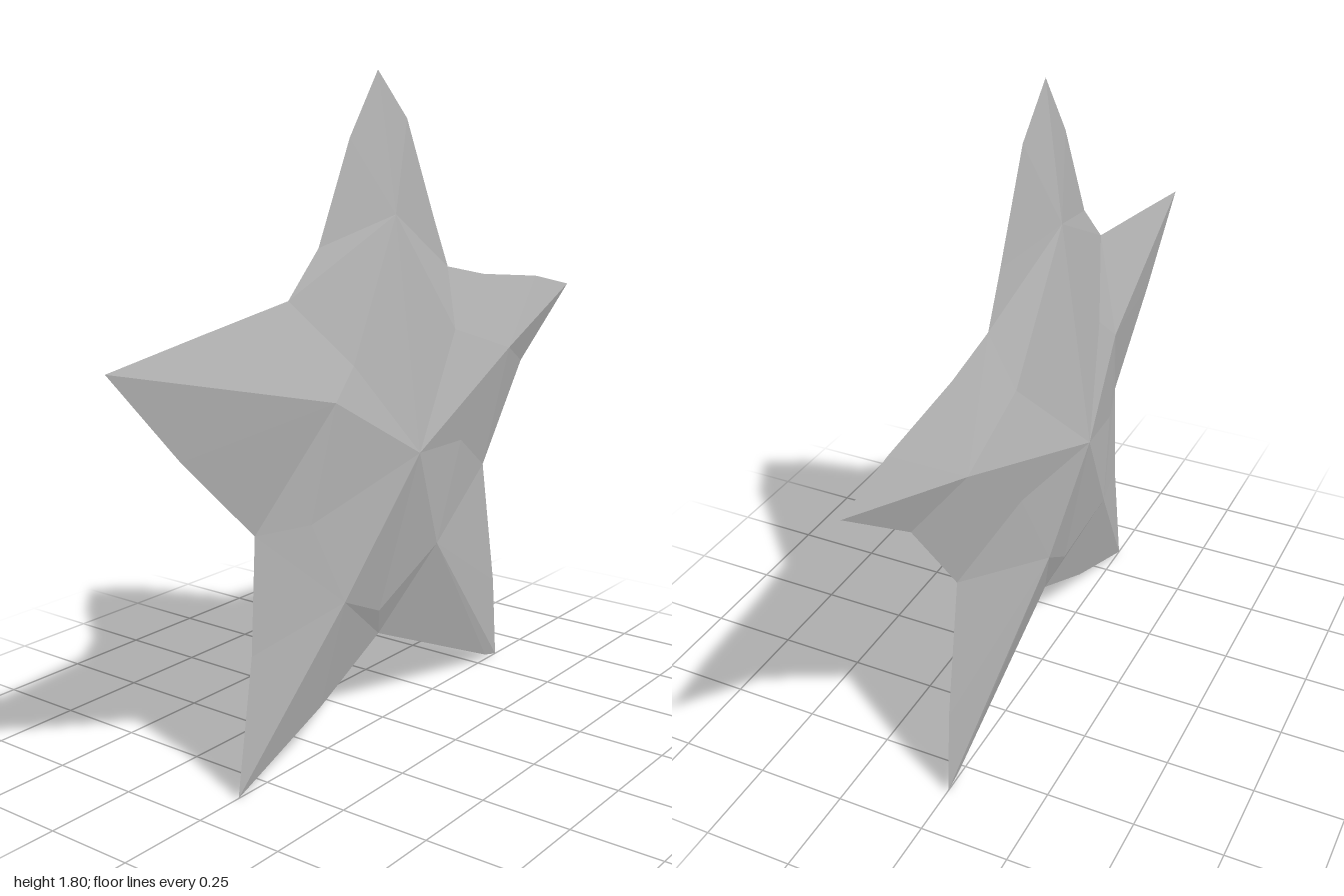
import * as THREE from 'three';

// Five arms, counter-clockwise seen from +x. All points are [z, y] or [z, y, depth].
// rim: outline from the arm's first notch up to (not including) the next arm's first notch.
const arms = [
  { ridge: [0.01, 1.43, 0.051], valley: [0.22, 1.06, 0.072],
    rim: [[-0.31, 1.26], [-0.24, 1.4], [-0.11, 1.675], [0.02, 1.8], [0.14, 1.63], [0.27, 1.36]] },
  { ridge: [0.31, 0.98, 0.085], valley: [0.37, 0.67, 0.05],
    rim: [[0.39, 1.24], [0.7, 1.195], [1, 1.15], [0.78, 0.91]] },
  { ridge: [0.27, 0.44, 0.078], valley: [0.07, 0.35, 0.04],
    rim: [[0.53, 0.67], [0.55, 0.36], [0.61, 0], [0.28, 0.13]] },
  { ridge: [-0.14, 0.5, 0.087], valley: [-0.28, 0.77, 0.072],
    rim: [[0.02, 0.26], [-0.54, 0.015], [-0.6, 0], [-0.58, 0.25]] },
  { ridge: [-0.55, 1.0, 0.062], valley: [-0.27, 1.09, 0.055],
    rim: [[-0.51, 0.64], [-0.72, 0.93], [-1, 1.14], [-0.8, 1.185], [-0.5, 1.22]] },
];
const centre = [0.015, 0.8, 0.136];

// One faceted half of the star; side is +1 or -1
function starHalf(side) {
  const positions = [];
  const tri = (a, b, c) => {
    for (const [z, y, depth = 0] of side > 0 ? [a, b, c] : [a, c, b]) {
      positions.push(side * depth, y, z);
    }
  };
  arms.forEach((arm, i) => {
    const next = arms[(i + 1) % arms.length];
    const notch = next.rim[0];
    const rim = [...arm.rim, notch];
    // Facets from the arm's ridge out to its outline
    for (let k = 0; k < rim.length - 1; k++) tri(arm.ridge, rim[k], rim[k + 1]);
    // Valley between this arm and the next
    tri(arm.ridge, notch, arm.valley);
    tri(arm.valley, notch, next.ridge);
    // Facets around the raised centre
    tri(centre, arm.ridge, arm.valley);
    tri(centre, arm.valley, next.ridge);
  });
  const geometry = new THREE.BufferGeometry();
  geometry.setAttribute('position', new THREE.Float32BufferAttribute(positions, 3));
  geometry.computeVertexNormals();
  return geometry;
}

export function createModel() {
  const group = new THREE.Group();
  group.name = 'star';
  const grey = new THREE.MeshStandardMaterial({ color: 0xb4b4b4, flatShading: true });
  grey.name = 'grey';
  for (const [name, side] of [['leftHalf', 1], ['rightHalf', -1]]) {
    const half = new THREE.Mesh(starHalf(side), grey);
    half.name = name;
    group.add(half);
  }
  return group;
}
